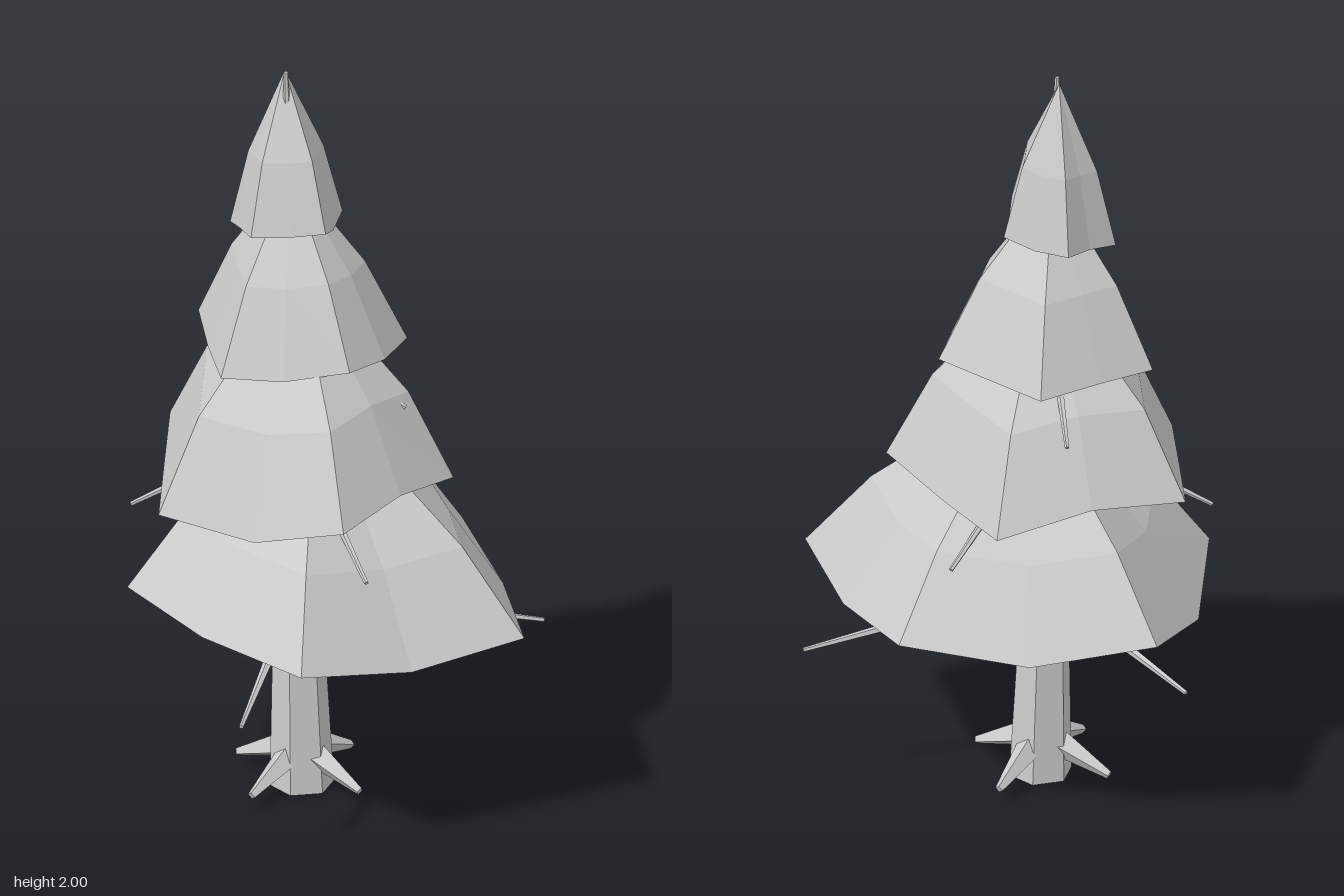
import * as THREE from 'three';

const V = (x, y, z) => new THREE.Vector3(x, y, z);

// Trunk axis: leans slightly as it rises
const axis = (y) => V(-0.025 - 0.02 * y, y, 0.03 + 0.01 * y);

// Foliage tiers: rim points [x, y, z] alternate corner and edge middle, clockwise from above
const TIERS = [
  {
    name: 'bottomFoliage', apex: [0, 1.12, 0], mid: [0.7, 0.38], under: 0.58,
    rim: [[-0.05, 0.575, -0.52], [0.26, 0.54, -0.4], [0.565, 0.55, -0.22], [0.49, 0.52, 0.09], [0.435, 0.58, 0.41],
      [0.08, 0.575, 0.445], [-0.24, 0.595, 0.43], [-0.43, 0.52, 0.19], [-0.56, 0.595, -0.1], [-0.33, 0.54, -0.33]],
  },
  {
    name: 'lowerMiddleFoliage', apex: [-0.04, 1.45, 0.03], mid: [0.71, 0.42], under: 0.94,
    rim: [[-0.21, 0.86, -0.325], [0.02, 0.87, -0.275], [0.28, 0.9, -0.22], [0.335, 0.935, 0], [0.38, 0.91, 0.225],
      [0.16, 0.84, 0.34], [-0.09, 0.86, 0.45], [-0.285, 0.89, 0.27], [-0.47, 0.905, 0.1], [-0.35, 0.92, -0.12]],
  },
  {
    name: 'upperMiddleFoliage', apex: [-0.07, 1.71, 0.03], mid: [0.64, 0.46], under: 1.26,
    rim: [[-0.25, 1.23, -0.205], [-0.07, 1.24, -0.225], [0.1, 1.23, -0.215], [0.18, 1.24, -0.075], [0.21, 1.255, 0.065],
      [0.095, 1.225, 0.19], [-0.04, 1.215, 0.285], [-0.195, 1.22, 0.2], [-0.35, 1.24, 0.105], [-0.305, 1.24, -0.045]],
  },
  {
    name: 'topFoliage', apex: [-0.087, 1.995, 0.035], mid: [0.67, 0.46], under: 1.6,
    rim: [[-0.02, 1.58, -0.1], [0.04, 1.57, -0.02], [0.095, 1.6, 0.05], [0.035, 1.59, 0.12], [-0.035, 1.585, 0.19],
      [-0.12, 1.57, 0.155], [-0.21, 1.545, 0.115], [-0.2, 1.56, 0.03], [-0.205, 1.57, -0.055], [-0.11, 1.565, -0.08]],
  },
];

// Faceted skirt: rim, bulging middle ring, apex, and a shallow underside fan
function tierGeometry({ apex, mid, under, rim }) {
  const top = V(...apex);
  const centre = axis(under);
  const low = rim.map((p) => V(...p));
  const high = low.map((p) => V(
    top.x + (p.x - top.x) * mid[0],
    p.y + (top.y - p.y) * mid[1],
    top.z + (p.z - top.z) * mid[0],
  ));
  const pts = [];
  low.forEach((a, i) => {
    const j = (i + 1) % low.length;
    pts.push(a, high[i], high[j], a, high[j], low[j]);
    pts.push(high[i], top, high[j], a, low[j], centre);
  });
  const g = new THREE.BufferGeometry().setFromPoints(pts);
  g.computeVertexNormals();
  return g;
}

// Tapered limb between two points
function limb(from, to, r0, r1, sides) {
  const dir = to.clone().sub(from);
  const g = new THREE.CylinderGeometry(r1, r0, dir.length(), sides).toNonIndexed();
  g.applyQuaternion(new THREE.Quaternion().setFromUnitVectors(V(0, 1, 0), dir.normalize()));
  const m = from.clone().add(to).multiplyScalar(0.5);
  g.translate(m.x, m.y, m.z);
  g.computeVertexNormals();
  return g;
}

export function createModel() {
  const group = new THREE.Group();
  const grey = new THREE.MeshStandardMaterial({ color: 0xcccccc, flatShading: true });
  grey.name = 'pale grey';
  const add = (name, geometry) => {
    const mesh = new THREE.Mesh(geometry, grey);
    mesh.name = name;
    group.add(mesh);
  };

  // Six-sided trunk, sheared along its leaning axis so the foot stays level
  const trunk = new THREE.CylinderGeometry(0.006, 0.083, 2, 6, 1, false, Math.PI / 6);
  trunk.translate(0, 1, 0);
  const pos = trunk.attributes.position;
  for (let i = 0; i < pos.count; i++) {
    const a = axis(pos.getY(i));
    pos.setXYZ(i, pos.getX(i) + a.x, a.y, pos.getZ(i) + a.z);
  }
  trunk.computeVertexNormals();
  add('trunk', trunk);

  // Four spreading roots
  for (const [x, z] of [[0.01, 0.225], [-0.215, 0.085], [-0.065, -0.165], [0.165, -0.005]]) {
    add('root', limb(axis(0.115), V(x, 0.035, z), 0.045, 0.011, 4));
  }

  // Three whorls of thin drooping branches
  const whorls = [
    { base: 0.54, tip: 0.425, r: 0.02, ends: [[0.31, 0.505], [0.31, -0.495], [-0.562, 0.005]] },
    { base: 1.0, tip: 0.765, r: 0.016, ends: [[-0.11, -0.39], [-0.34, 0.335], [0.405, 0.17]] },
    { base: 1.3, tip: 1.105, r: 0.015, ends: [[-0.31, -0.17], [0.215, -0.115], [-0.05, 0.26]] },
  ];
  for (const { base, tip, r, ends } of whorls) {
    for (const [x, z] of ends) add('branch', limb(axis(base), V(x, tip, z), r, 0.006, 5));
  }

  for (const tier of TIERS) add(tier.name, tierGeometry(tier));
  return group;
}
